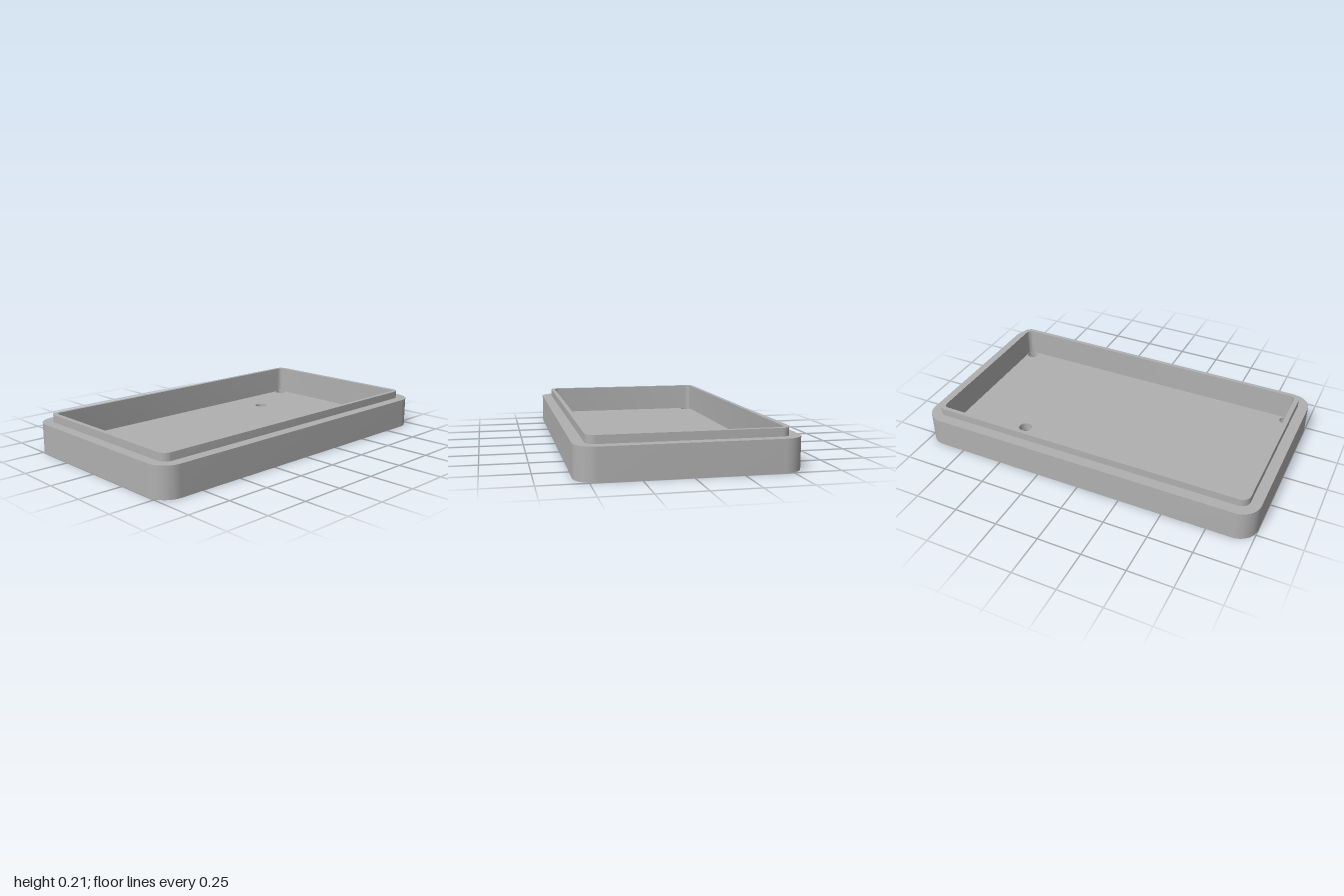
import * as THREE from 'three';
import { toCreasedNormals } from 'three/addons/utils/BufferGeometryUtils.js';

const FLOOR = 0.05, BORE = 0.033, LEDGE = 0.17, TOP = 0.213;
const SEGMENTS = 10;

// Outlines are drawn in plan: shape x = x, shape y = -z
function roundedRect(hx, hz, r) {
  const s = new THREE.Shape();
  const corners = [[1, -1, -0.5], [1, 1, 0], [-1, 1, 0.5], [-1, -1, 1]];
  for (const [sx, sy, a] of corners) {
    s.absarc(sx * (hx - r), sy * (hz - r), r, a * Math.PI, (a + 0.5) * Math.PI, false);
  }
  s.closePath();
  return s;
}

function circle(x, z, r) {
  return new THREE.Shape().absarc(x, -z, r, 0, Math.PI * 2, false);
}

// Flat horizontal face with holes, facing up or down
function face(outline, holes, y, up) {
  const s = outline.clone();
  s.holes = holes;
  const g = new THREE.ShapeGeometry(s, SEGMENTS);
  if (!up) {
    g.setIndex(Array.from(g.index.array).reverse());
    g.computeVertexNormals();
  }
  return g.rotateX(-Math.PI / 2).translate(0, y, 0);
}

// Vertical wall along an outline, facing out or in
function wall(outline, y0, y1, outward) {
  const pts = outline.getPoints(SEGMENTS);
  if (pts[0].distanceTo(pts[pts.length - 1]) < 1e-6) pts.pop();
  const pos = [], index = [], n = pts.length;
  pts.forEach((p, i) => {
    pos.push(p.x, y0, -p.y, p.x, y1, -p.y);
    const a = 2 * i, b = 2 * ((i + 1) % n);
    index.push(a, b, b + 1, a, b + 1, a + 1);
  });
  if (!outward) index.reverse();
  const g = new THREE.BufferGeometry();
  g.setAttribute('position', new THREE.Float32BufferAttribute(pos, 3));
  g.setIndex(index);
  g.computeVertexNormals();
  return toCreasedNormals(g, 0.6);
}

export function createModel() {
  const model = new THREE.Group();
  model.name = 'enclosureHalf';
  const grey = new THREE.MeshStandardMaterial({ color: 0xb0b0b0 });
  grey.name = 'grey plastic';

  const part = (name, ...geometries) => {
    const group = new THREE.Group();
    group.name = name;
    for (const g of geometries) {
      const mesh = new THREE.Mesh(g, grey);
      mesh.name = name + 'Surface';
      group.add(mesh);
    }
    model.add(group);
  };

  const outer = roundedRect(0.568, 1, 0.11);
  const lip = roundedRect(0.508, 0.941, 0.05);
  const cavity = roundedRect(0.484, 0.914, 0.03);
  const vent = circle(-0.274, -0.502, 0.038);
  const spots = [[-0.45, -0.88], [0.45, -0.88], [-0.45, 0.88], [0.45, 0.88]];
  const screws = spots.map(([x, z]) => circle(x, z, 0.032));
  const bores = spots.map(([x, z]) => circle(x, z, 0.055));

  // Tray body with its ledge
  part('body', wall(outer, 0, LEDGE, true), face(outer, [lip], LEDGE, true));
  part('underside', face(outer, [...bores, vent], 0, false));

  // Raised locating lip
  part('lip', wall(lip, LEDGE, TOP, true), face(lip, [cavity], TOP, true));

  // Hollow interior
  part('cavity', wall(cavity, FLOOR, TOP, false), face(cavity, [...screws, vent], FLOOR, true));

  // Through hole and counterbored screw holes
  part('floorHole', wall(vent, 0, FLOOR, false));
  spots.forEach((_, i) => part('screwHole' + (i + 1),
    wall(bores[i], 0, BORE, false),
    face(bores[i], [screws[i]], BORE, false),
    wall(screws[i], BORE, FLOOR, false)));

  return model;
}
